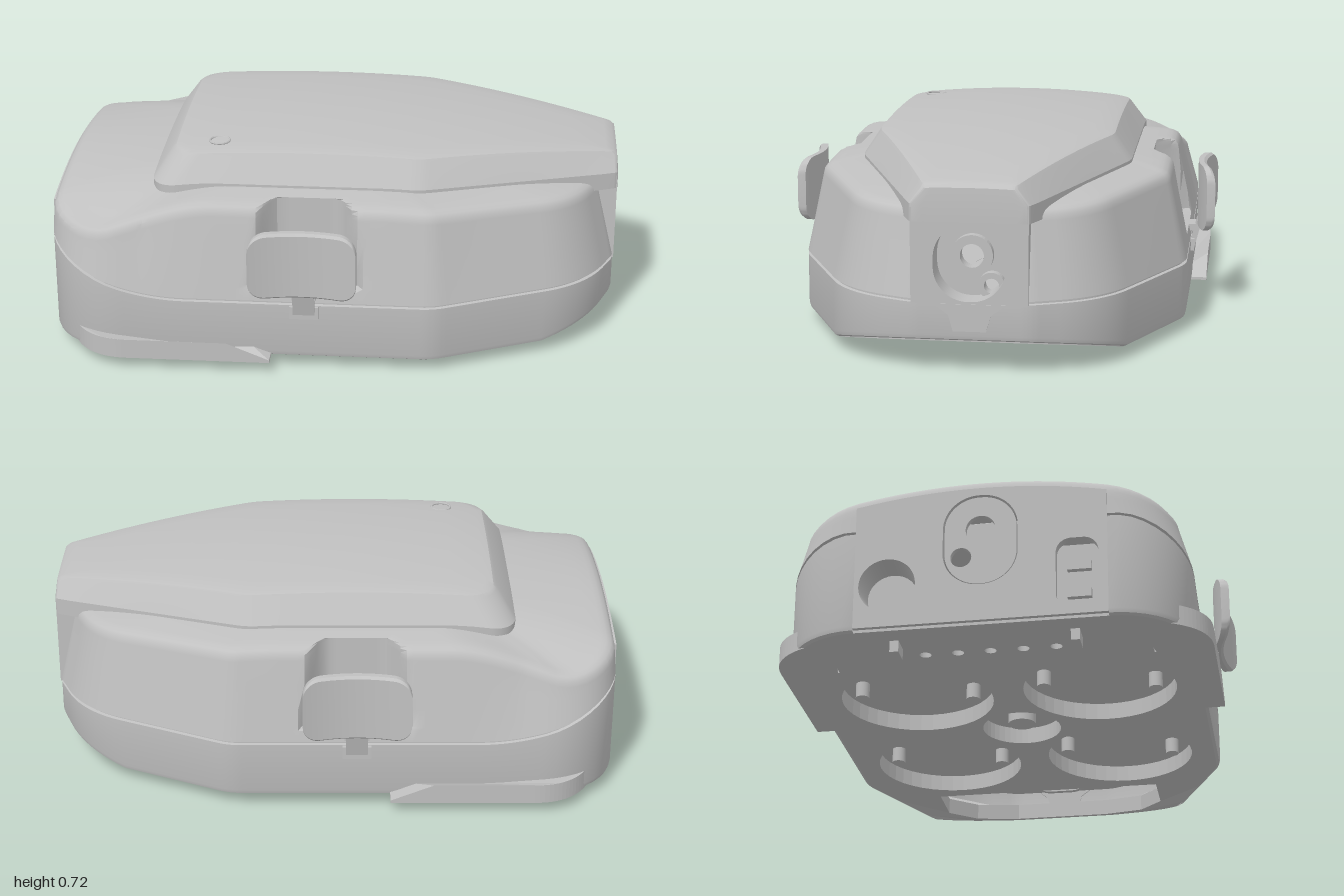
import * as THREE from 'three';
import { toCreasedNormals } from 'three/addons/utils/BufferGeometryUtils.js';

const V = (x, y, z) => new THREE.Vector3(x, y, z);
const { clamp, lerp, smoothstep } = THREE.MathUtils;

// Rounded outline in plan, mirrored across z. Half corners are [x, z, radius], rear to nose.
function outline(half, sub) {
  const c = [...half, ...half.slice().reverse().map(([x, z, r]) => [x, -z, r])];
  const n = c.length, pts = [];
  const normal = i => {
    const a = c[i % n], b = c[(i + 1) % n], l = Math.hypot(b[0] - a[0], b[1] - a[1]);
    return [-(b[1] - a[1]) / l, (b[0] - a[0]) / l];
  };
  const arcs = c.map(([x, z, r], i) => {
    const p = normal(i + n - 1), q = normal(i), k = r / (1 + p[0] * q[0] + p[1] * q[1]);
    const cx = x - (p[0] + q[0]) * k, cz = z - (p[1] + q[1]) * k;
    const a0 = Math.atan2(p[1], p[0]);
    const turn = Math.atan2(p[0] * q[1] - p[1] * q[0], p[0] * q[0] + p[1] * q[1]);
    return Array.from({ length: 11 }, (_, j) => {
      const a = a0 + turn * j / 10, nx = Math.cos(a), nz = Math.sin(a);
      return { x: cx + r * nx, z: cz + r * nz, nx, nz };
    });
  });
  arcs.forEach((arc, i) => {
    pts.push(...arc);
    const a = arc[10], b = arcs[(i + 1) % n][0];
    for (let j = 1; j < sub; j++) pts.push({ x: lerp(a.x, b.x, j / sub), z: lerp(a.z, b.z, j / sub), nx: a.nx, nz: a.nz });
  });
  return pts;
}

// Skin over closed rings of equal length
function loft(rings, skip = () => false, crease = 0.5) {
  const n = rings[0].length, idx = [];
  for (let i = 0; i < rings.length - 1; i++) for (let j = 0; j < n; j++) {
    const k = (j + 1) % n;
    if (skip(rings[i][j], rings[i][k], i)) continue;
    const a = i * n + j, b = i * n + k;
    idx.push(a, b, b + n, a, b + n, a + n);
  }
  const g = new THREE.BufferGeometry().setFromPoints(rings.flat());
  g.setIndex(idx);
  return toCreasedNormals(g, crease);
}

const roundRect = (u, v, w, h, r, T = THREE.Shape) => {
  const s = new T();
  s.absarc(u + w - r, v + h - r, r, 0, Math.PI / 2);
  s.absarc(u - w + r, v + h - r, r, Math.PI / 2, Math.PI);
  s.absarc(u - w + r, v - h + r, r, Math.PI, Math.PI * 1.5);
  s.absarc(u + w - r, v - h + r, r, Math.PI * 1.5, Math.PI * 2);
  s.closePath();
  return s;
};
const circle = (u, v, r) => { const p = new THREE.Path(); p.absarc(u, v, r, 0, Math.PI * 2); return p; };
const poly = (pts, T = THREE.Shape) => new T(pts.map(p => new THREE.Vector2(p[0], p[1])));
const extrude = (shape, depth) => new THREE.ExtrudeGeometry(shape, { depth, bevelEnabled: false, curveSegments: 20 });
// Upright plate facing +x; shape u runs toward -z
const facing = (shape, x, depth) => extrude(shape, depth).rotateY(Math.PI / 2).translate(x, 0, 0);
// Lying plate drawn in x and z
const lying = (shape, top, depth) => extrude(shape, depth).rotateX(Math.PI / 2).translate(0, top, 0);

export function createModel() {
  const root = new THREE.Group();
  const grey = new THREE.MeshStandardMaterial({ color: 0xc0c0c0, side: THREE.DoubleSide });
  grey.name = 'grey plastic';
  const add = (name, geo, parent = root) => {
    const m = new THREE.Mesh(geo, grey);
    m.name = name;
    parent.add(m);
    return m;
  };
  const box = (name, w, h, d, x, y, z, parent) => add(name, new THREE.BoxGeometry(w, h, d).translate(x, y, z), parent);
  const rod = (name, r, h, x, y, z, parent) => add(name, new THREE.CylinderGeometry(r, r, h, 20).translate(x, y, z), parent);

  // Height rules: chamfered nose, seam rising at the rear, shoulder falling at the rear corners
  const noseRise = x => Math.max(0, x - 0.74) * 0.28;
  const seam = x => 0.245 + 0.155 * Math.pow(clamp((-0.5 - x) / 0.49, 0, 1), 2);
  const shoulder = (x, z) => 0.575 - 0.03 * clamp((x - 0.2) / 0.75, 0, 1) - 0.085 * smoothstep(-x, 0.4, 0.9) * (z / 0.6) ** 2;
  const pocket = x => 0.53 + 0.17 * smoothstep(Math.abs(x + 0.08), 0.09, 0.24);

  // Shell: lower wall, seam groove, tapered upper wall with latch pockets, shoulder
  const plan = outline([[-0.995, 0.68, 0.26], [0.36, 0.68, 0.2], [0.89, 0.435, 0.4], [0.99, 0.2, 0.15]], 48);
  const ring = (inset, yOf, cut) => plan.map(p => {
    const taper = lerp(0.1, 1, clamp((p.x + 1) / 0.35, 0, 1));
    const d = cut ? Math.min(inset, 0.06) * taper + Math.max(0, inset - 0.06) : inset;
    const x = p.x - p.nx * d;
    let z = p.z - p.nz * d;
    if (cut === 2) z = Math.sign(z) * Math.min(Math.abs(z), pocket(x));
    return V(x, yOf(p.x, p.z), z);
  });
  const wall = (t, cut) => ring(0.06 * t, (x, z) => lerp(seam(x) + 0.006, shoulder(x, z) - 0.04, t), cut);
  const rings = [
    ring(0.015, x => 0.04 + noseRise(x)), ring(0.004, x => 0.046 + noseRise(x)), ring(0, x => 0.06 + noseRise(x)),
    ring(0, x => seam(x) - 0.006), ring(0.012, x => seam(x) - 0.004), ring(0.012, x => seam(x) + 0.004),
    wall(0, 1), wall(0.14, 1), wall(0.18, 2), wall(0.4, 2), wall(0.7, 2), wall(1, 2),
  ];
  const walls = rings.length - 1;
  [[0.064, -0.022], [0.075, -0.008], [0.092, 0], [0.11, 0.004]].forEach(([d, h]) => rings.push(ring(d, (x, z) => shoulder(x, z) + h, 2)));
  const rim = ring(0.11, (x, z) => shoulder(x, z) + 0.004, 1);
  [0.95, 0.9, 0.8, 0.65, 0.4, 0].forEach(k =>
    rings.push(rim.map(p => V(lerp(-0.1, p.x, k), lerp(0.61, p.y, k ** 3), p.z * k))));
  // flat ends stay open for the rear panel and the nose pillar
  add('shell', loft(rings, (a, b, i) => i < walls && Math.abs(a.x - b.x) < 1e-4 && (a.x < 0 || i > 3)));

  // Raised crowned deck
  const deckBase = outline([[-0.64, 0.48, 0.1], [0.3, 0.48, 0.2], [0.995, 0.195, 0.02]], 14);
  const deckTop = outline([[-0.575, 0.425, 0.1], [0.3, 0.425, 0.2], [0.99, 0.155, 0.02]], 14);
  const crown = (x, z) => 0.725 - 0.077 * (x + 0.08) ** 2 - 0.14 * z * z;
  const deck = [deckBase.map(p => V(p.x, 0.51, p.z)), deckBase.map(p => V(p.x, shoulder(p.x, p.z) + 0.025, p.z)),
    deckTop.map(p => V(p.x, crown(p.x, p.z) - 0.012, p.z))];
  [0.985, 0.95, 0.8, 0.6, 0.4, 0.2, 0].forEach(k => deck.push(deckTop.map(p => {
    const x = lerp(0.2, p.x, k), z = p.z * k;
    return V(x, crown(x, z) - (k > 0.98 ? 0.003 : 0), z);
  })));
  add('deck', loft(deck));
  add('indicatorRing', new THREE.TorusGeometry(0.035, 0.004, 8, 32).rotateX(Math.PI / 2).translate(-0.41, crown(-0.41, 0.33) + 0.001, 0.33));

  // Nose pillar with arched cable opening
  const pillar = poly([[-0.195, 0.237], [0.195, 0.237], [0.195, 0.56], [-0.195, 0.56]]);
  pillar.holes.push(roundRect(0, 0.375, 0.12, 0.13, 0.115, THREE.Path));
  add('nosePillar', facing(pillar, 0.86, 0.133));
  const sockets = [[0, 0.385, 0.04, 0.07], [0.065, 0.285, 0.025, 0.045]];
  const socketPlate = roundRect(0, 0.355, 0.14, 0.17, 0.1);
  sockets.forEach(([u, v, r]) => socketPlate.holes.push(circle(u, v, r)));
  add('noseSocketPlate', facing(socketPlate, 0.88, 0.02));
  sockets.forEach(([u, v, r, R]) => {
    const boss = new THREE.Shape().absarc(u, v, R, 0, Math.PI * 2);
    boss.holes.push(circle(u, v, r));
    add('socketBoss', facing(boss, 0.9, 0.03));
  });
  add('noseTab', facing(poly([[-0.12, 0.237], [-0.07, 0.2], [-0.055, 0.145], [0.055, 0.145], [0.07, 0.2], [0.12, 0.237]]), 0.986, 0.009));

  // Rear panel with domed top: round port, connector oval and slot
  const rearTop = Array.from({ length: 17 }, (_, i) => 0.42 - i * 0.0525).map(u => [u, shoulder(-0.995, u) - 0.038]);
  const rear = poly([[-0.42, 0.05], [0.42, 0.05], ...rearTop]);
  rear.holes.push(circle(0.31, 0.2, 0.095), roundRect(-0.32, 0.2, 0.07, 0.125, 0.05, THREE.Path), roundRect(0, 0.345, 0.125, 0.165, 0.12, THREE.Path));
  add('rearPanel', facing(rear, -0.995, 0.03));
  const oval = roundRect(0, 0.345, 0.12, 0.16, 0.115);
  sockets.forEach(([u, v, r]) => oval.holes.push(circle(u, v, r + 0.01)));
  add('rearConnector', facing(oval, -0.989, 0.02));
  add('portBarrel', new THREE.CylinderGeometry(0.095, 0.085, 0.1, 32, 1, true).rotateZ(Math.PI / 2).translate(-0.94, 0.2, -0.31));
  add('portFloor', new THREE.CylinderGeometry(0.095, 0.095, 0.01, 32).rotateZ(Math.PI / 2).translate(-0.89, 0.2, -0.31));
  box('slotFloor', 0.01, 0.27, 0.16, -0.92, 0.2, 0.32);
  for (const y of [0.15, 0.25]) box('slotContact', 0.03, 0.03, 0.08, -0.93, y, 0.32);

  // Underside plate with four round wells, central well and open nose
  const flat = plan.map(p => [p.x - p.nx * 0.015, p.z - p.nz * 0.015]);
  const base = poly(flat);
  const wells = [[0.18, 0.32], [0.18, -0.32], [-0.42, 0.32], [-0.42, -0.32]];
  wells.forEach(([x, z]) => {
    base.holes.push(circle(x, z, 0.265));
  });
  base.holes.push(circle(-0.12, 0, 0.14));
  base.holes.push(poly([[0.5, 0.42], [0.68, 0.42], [0.82, 0.33], [0.92, 0.18], [0.92, -0.18], [0.82, -0.33], [0.68, -0.42], [0.5, -0.42]], THREE.Path));
  for (let i = -2; i <= 2; i++) base.holes.push(circle(-0.78, i * 0.11, 0.02));
  for (const s of [1, -1]) base.holes.push(roundRect(-0.72, s * 0.56, 0.035, 0.025, 0.005, THREE.Path));
  const baseGeo = lying(base, 0.1, 0.06), bp = baseGeo.attributes.position;
  for (let i = 0; i < bp.count; i++) bp.setY(i, bp.getY(i) + noseRise(bp.getX(i)));
  baseGeo.computeVertexNormals();
  add('basePlate', baseGeo);
  const ceiling = (name, f, y) => add(name, new THREE.ShapeGeometry(poly(flat.map(([x, z]) => [f(x, 0.5), z]))).rotateX(Math.PI / 2).translate(0, y, 0));
  ceiling('wellFloor', Math.min, 0.099);
  ceiling('noseCavityRoof', Math.max, 0.22);
  box('cavityWall', 0.02, 0.13, 1.16, 0.49, 0.16, 0);
  for (const s of [1, -1]) box('cavityRib', 0.2, 0.09, 0.06, 0.6, 0.17, s * 0.2);
  wells.forEach(([x, z]) => {
    for (const s of [1, -1]) rod('wellPin', 0.024, 0.055, x + s * 0.035, 0.073, z + s * 0.19);
  });
  rod('centrePost', 0.05, 0.045, -0.12, 0.078, 0);

  for (const s of [1, -1]) {
    const side = new THREE.Group();
    side.name = s > 0 ? 'leftSide' : 'rightSide';
    root.add(side);
    box('foot', 0.07, 0.05, 0.03, -0.87, 0.025, s * 0.3, side);

    // Side rail tapering toward its front end
    const rail = new THREE.Shape();
    rail.moveTo(-0.93, s * 0.5);
    rail.quadraticCurveTo(-0.88, s * 0.735, -0.7, s * 0.735);
    [[-0.35, 0.735], [-0.2, 0.735], [-0.2, 0.6], [-0.35, 0.6]].forEach(([x, z]) => rail.lineTo(x, s * z));
    const railGeo = lying(rail, 0.11, 0.07), rp = railGeo.attributes.position;
    for (let i = 0; i < rp.count; i++) if (rp.getX(i) > -0.25 && rp.getY(i) > 0.1) rp.setY(i, 0.05);
    railGeo.computeVertexNormals();
    add('sideRail', railGeo, side);

    // Latch: bowed rounded paddle, strap, hinge and arm lying on the pocket floor
    const sections = [], hw = 0.185, r = 0.06;
    for (let i = 0; i <= 32; i++) {
      const t = -Math.cos(Math.PI * i / 32) * hw, e = Math.max(0, Math.abs(t) - hw + r);
      const h = 0.12 - r + Math.sqrt(Math.max(0, r * r - e * e)), z = 0.702 + 1.1 * t * t;
      const sec = [[-h, 0], [-h, 0.02], [-h + 0.008, 0.03], [h - 0.008, 0.03], [h, 0.02], [h, 0]]
        .map(([y, dz]) => V(-0.083 + t, 0.41 + y, s * (z + dz)));
      sections.push(s > 0 ? sec.reverse() : sec);
    }
    const end = q => q.map(() => q.reduce((a, b) => a.clone().add(b), V(0, 0, 0)).divideScalar(q.length));
    add('latchPaddle', loft([end(sections[0]), ...sections, end(sections[32])]), side);
    box('latchArm', 0.085, 0.025, 0.15, -0.083, 0.28, s * 0.625, side);
    add('latchBarrel', new THREE.CylinderGeometry(0.025, 0.025, 0.1, 16).rotateZ(Math.PI / 2).translate(-0.083, 0.295, s * 0.58), side);
    const strap = box('latchStrap', 0.075, 0.1, 0.02, 0, 0, 0, side);
    strap.position.set(-0.083, 0.26, s * 0.697);
    strap.rotation.x = s * 0.25;
    box('latchHinge', 0.1, 0.045, 0.02, -0.083, 0.215, s * 0.683, side);
  }
  return root;
}
